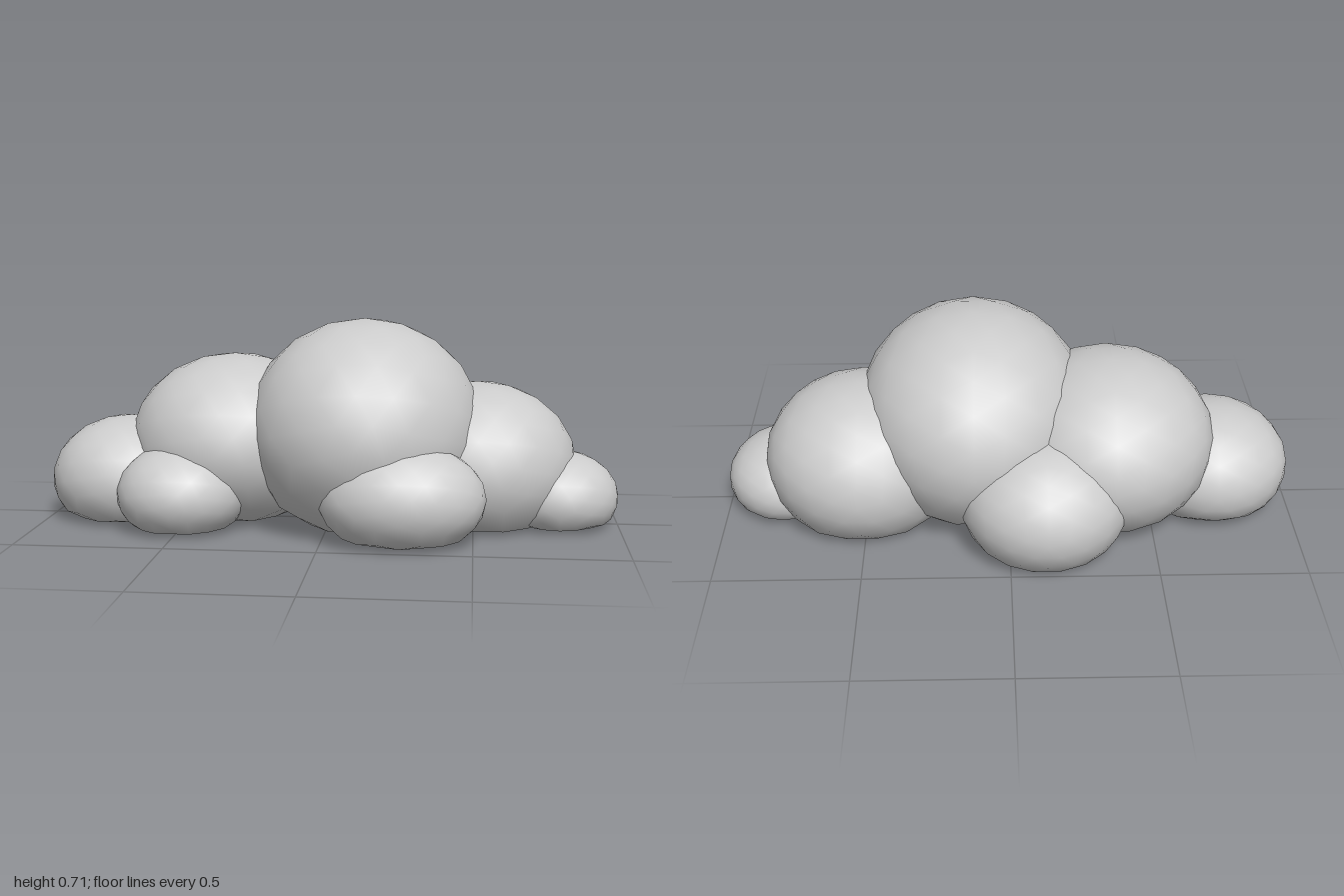
import * as THREE from 'three';
import { mergeVertices } from 'three/addons/utils/BufferGeometryUtils.js';

const FLOOR = 0.015; // height below which puffs are pressed nearly flat
const PRESS = 0.15;

// Smooth ellipsoid with a flattened underside
function puffGeometry([cx, cy, cz], [rx, ry, rz]) {
  let geo = new THREE.IcosahedronGeometry(1, 3);
  geo.deleteAttribute('uv');
  geo.deleteAttribute('normal');
  geo = mergeVertices(geo, 1e-4);
  geo.rotateX(0.5536); // point a vertex straight up
  geo.scale(rx, ry, rz);
  geo.translate(cx, cy, cz);
  const pos = geo.attributes.position;
  for (let i = 0; i < pos.count; i++) {
    const y = pos.getY(i);
    if (y < FLOOR) pos.setY(i, Math.max(0, FLOOR + (y - FLOOR) * PRESS));
  }
  geo.computeVertexNormals();
  return geo;
}

export function createModel() {
  const cloud = new THREE.Group();
  cloud.name = 'cloud';
  const cloudGrey = new THREE.MeshStandardMaterial({ color: 0xcccccc });
  cloudGrey.name = 'cloudGrey';

  // name, centre, radii
  const puffs = [
    ['mainPuff', [0.12, 0.33, 0.045], [0.41, 0.385, 0.467]],
    ['rightPuff', [-0.35, 0.27, -0.05], [0.372, 0.31, 0.392]],
    ['leftPuff', [0.51, 0.2, -0.033], [0.346, 0.292, 0.353]],
    ['rightEndPuff', [-0.72, 0.14, 0], [0.28, 0.22, 0.278]],
    ['leftEndPuff', [0.79, 0.1, 0.005], [0.21, 0.16, 0.222]],
    ['frontRightPuff', [-0.495, 0.125, 0.2], [0.225, 0.17, 0.232]],
    ['frontLeftPuff', [0.265, 0.15, 0.35], [0.278, 0.187, 0.217]],
    ['backPuff', [-0.12, 0.17, -0.285], [0.292, 0.235, 0.285]],
  ];
  for (const [name, centre, radii] of puffs) {
    const mesh = new THREE.Mesh(puffGeometry(centre, radii), cloudGrey);
    mesh.name = name;
    cloud.add(mesh);
  }
  return cloud;
}
